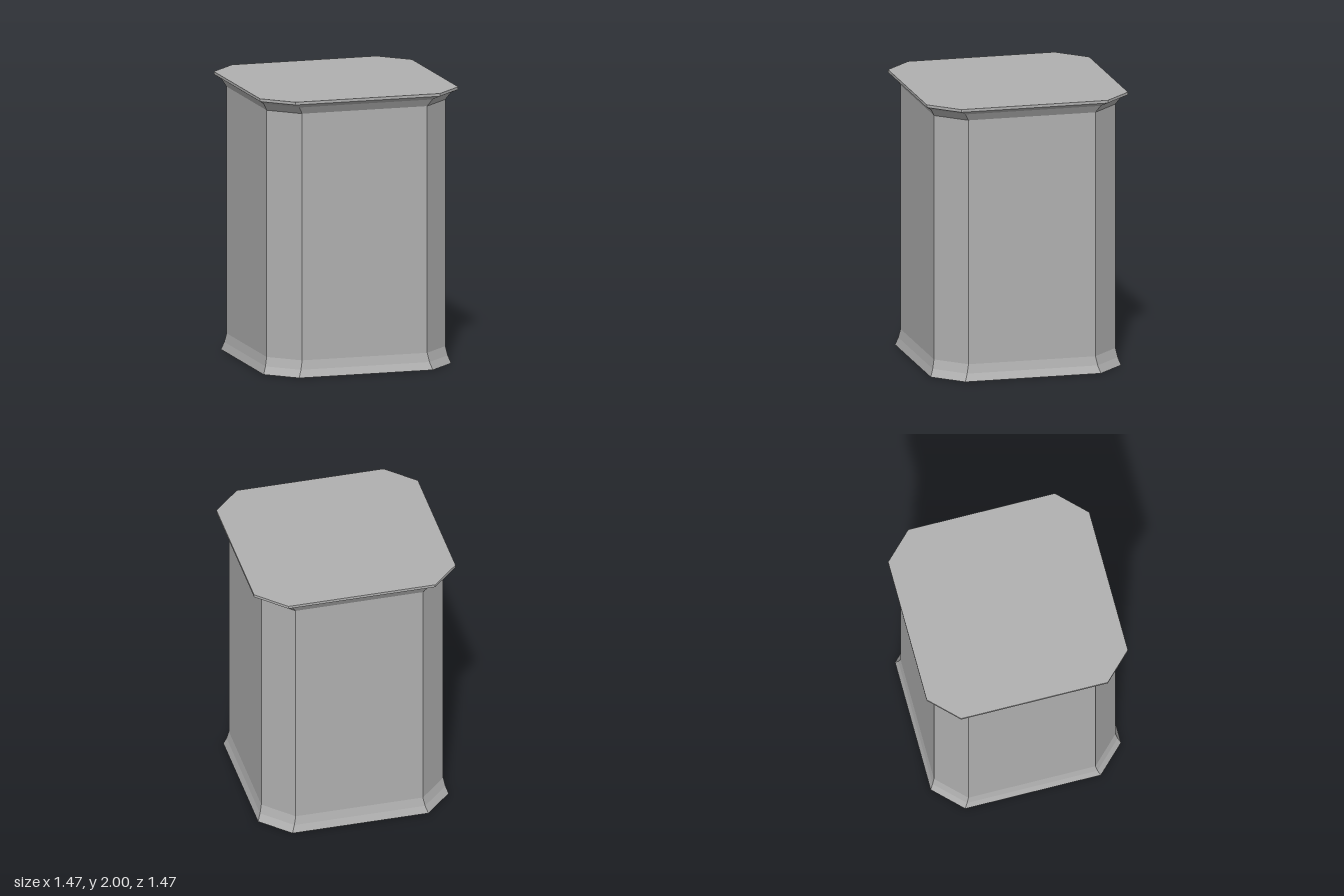
import * as THREE from 'three';

const CHAMFER = 0.2;

// Square of half-width h with cut corners, as [x, z] pairs
function octagon(h) {
  const c = h - CHAMFER;
  return [[h, -c], [h, c], [c, h], [-c, h], [-h, c], [-h, -c], [-c, -h], [c, -h]];
}

// Faceted skin through a profile of [halfWidth, y] levels, from bottom to top
function skin(profile) {
  const pos = [];
  for (let k = 0; k < profile.length - 1; k++) {
    const [h0, y0] = profile[k], [h1, y1] = profile[k + 1];
    const lo = octagon(h0).map(([x, z]) => [x, y0, z]);
    const hi = octagon(h1).map(([x, z]) => [x, y1, z]);
    for (let i = 0; i < 8; i++) {
      const j = (i + 1) % 8;
      pos.push(...lo[i], ...hi[i], ...hi[j], ...lo[i], ...hi[j], ...lo[j]);
    }
  }
  const g = new THREE.BufferGeometry();
  g.setAttribute('position', new THREE.Float32BufferAttribute(pos, 3));
  g.computeVertexNormals();
  return g;
}

export function createModel() {
  const group = new THREE.Group();
  group.name = 'pedestal';
  const stone = new THREE.MeshStandardMaterial({ color: 0xb0b0b0, side: THREE.DoubleSide, flatShading: true });
  stone.name = 'grey stone';

  const add = (name, geometry) => {
    const mesh = new THREE.Mesh(geometry, stone);
    mesh.name = name;
    group.add(mesh);
    return mesh;
  };

  // Hollow body, open underneath
  add('baseFlare', skin([[0.697, 0], [0.678, 0.055], [0.665, 0.12]]));
  add('shaft', skin([[0.665, 0.12], [0.665, 1.9]]));
  add('capFlare', skin([[0.665, 1.9], [0.695, 1.952], [0.737, 1.98]]));
  add('rim', skin([[0.737, 1.98], [0.737, 2]]));

  // Flat top
  const outline = new THREE.Shape(octagon(0.737).map(([x, z]) => new THREE.Vector2(x, -z)));
  const top = new THREE.ShapeGeometry(outline).rotateX(-Math.PI / 2);
  add('top', top).position.y = 2;

  return group;
}
